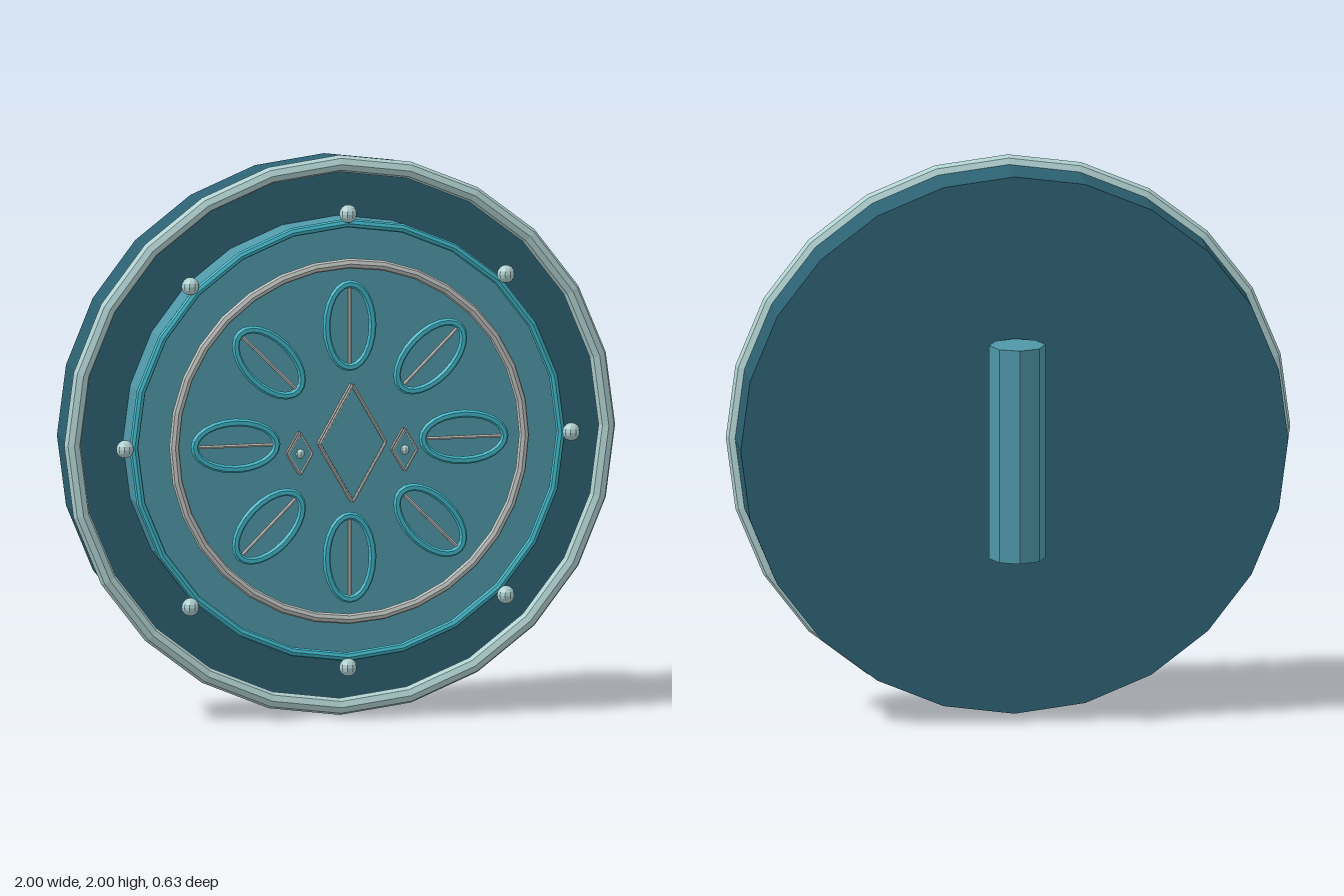
import * as THREE from 'three';

const mat = (name, color) => {
  const m = new THREE.MeshStandardMaterial({ color, flatShading: true });
  m.name = name;
  return m;
};

export function createModel() {
  const root = new THREE.Group();
  root.name = 'roundShield';
  // everything is laid out around the disc centre, one unit above the ground
  const shield = new THREE.Group();
  shield.name = 'shield';
  shield.position.y = 1;
  root.add(shield);

  const deep = mat('deepTeal', 0x2c6172);
  const teal = mat('midTeal', 0x4f97a8);
  const bright = mat('brightTurquoise', 0x3fb3c4);
  const pale = mat('paleAqua', 0xb0d0d0);
  const silver = mat('warmSilver', 0xb9bdba);

  const add = (name, geo, material, x = 0, y = 0, z = 0, parent = shield) => {
    const m = new THREE.Mesh(geo, material);
    m.name = name;
    m.position.set(x, y, z);
    parent.add(m);
    return m;
  };
  const disc = (name, r, z0, z1, material) =>
    add(name, new THREE.CylinderGeometry(r, r, z1 - z0, 24).rotateX(Math.PI / 2), material, 0, 0, (z0 + z1) / 2);
  const ring = (name, r, tube, z, material, segs = 24) =>
    add(name, new THREE.TorusGeometry(r, tube, 8, segs), material, 0, 0, z);

  // body and concentric rings
  disc('bodyDisc', 0.97, -0.12, 0.08, deep);
  disc('raisedDisc', 0.78, 0.08, 0.185, teal);
  ring('outerRim', 0.97, 0.03, 0.11, pale);
  ring('studRing', 0.775, 0.016, 0.222, bright);
  ring('innerRing', 0.635, 0.018, 0.25, silver, 32);

  // grip on the back
  add('backGrip', new THREE.CylinderGeometry(0.1, 0.1, 0.77, 8), teal, 0, 0, -0.22);

  // studs and petals, eight of each
  const studGeo = new THREE.SphereGeometry(0.032, 10, 8);
  const petalGeo = new THREE.TorusGeometry(0.149, 0.014, 6, 24);
  const p = petalGeo.attributes.position;
  for (let i = 0; i < p.count; i++) {
    // squeeze the centre line to an ellipse and keep the tube round
    const x = p.getX(i), y = p.getY(i), r = Math.hypot(x, y);
    p.setX(i, x - (x / r) * 0.149 * 0.44);
  }
  petalGeo.computeVertexNormals();
  const veinGeo = new THREE.CylinderGeometry(0.007, 0.007, 0.27, 6);
  for (let i = 0; i < 8; i++) {
    const a = (i * Math.PI) / 4;
    add('stud', studGeo, pale, 0.81 * Math.sin(a), 0.81 * Math.cos(a), 0.235);
    const petal = new THREE.Group();
    petal.name = 'petal';
    petal.position.set(0.414 * Math.sin(a), 0.414 * Math.cos(a), 0.257);
    petal.rotation.z = -a;
    shield.add(petal);
    add('petalOutline', petalGeo, bright, 0, 0, 0, petal);
    add('petalVein', veinGeo, silver, 0, 0, 0, petal);
  }

  // diamond block edged with thin bars front and back
  const diamond = (name, x, y, w, h, bar) => {
    const g = new THREE.Group();
    g.name = name;
    g.position.set(x, y, 0.272);
    shield.add(g);
    const k = 0.94;
    const s = new THREE.Shape([[0, h], [-w, 0], [0, -h], [w, 0]].map(([a, b]) => new THREE.Vector2(a * k, b * k)));
    add('diamondBlock', new THREE.ExtrudeGeometry(s, { depth: 0.03, bevelEnabled: false }), teal, 0, 0, 0, g);
    const len = Math.hypot(w, h);
    const barGeo = new THREE.CylinderGeometry(bar, bar, len, 6);
    for (const z of [0.003, 0.03])
      for (const sx of [-1, 1])
        for (const sy of [-1, 1]) {
          const b = add('diamondEdge', barGeo, silver, (sx * w) / 2, (sy * h) / 2, z, g);
          b.rotation.z = sx * sy * Math.atan2(w, h);
        }
    return g;
  };
  diamond('centreDiamond', 0, 0, 0.12, 0.21, 0.006);
  for (const sx of [-1, 1]) {
    const g = diamond('sideDiamond', sx * 0.19, -0.03, 0.044, 0.075, 0.005);
    add('diamondBead', new THREE.SphereGeometry(0.018, 8, 6), pale, 0, 0, 0.025, g);
  }
  return root;
}
